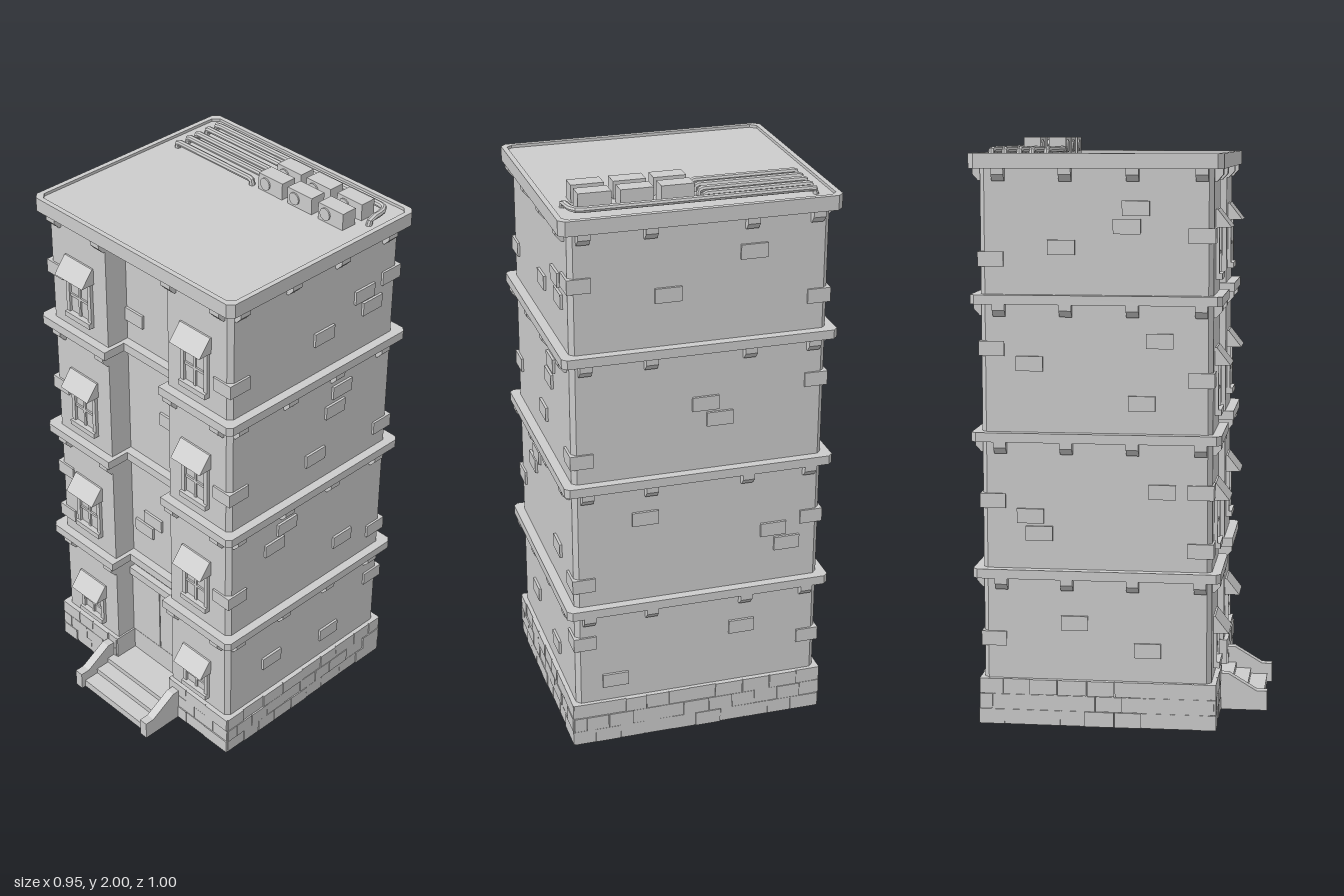
import * as THREE from 'three';

const mat = new THREE.MeshStandardMaterial({ color: 0xcccccc, flatShading: true, side: THREE.DoubleSide });
const HX = 0.44, ZF = 0.318, ZB = -0.465, ZR = 0.23; // half width, front, back and recess planes

function add(parent, name, geo, x = 0, y = 0, z = 0) {
  const m = new THREE.Mesh(geo, mat);
  m.name = name;
  m.position.set(x, y, z);
  parent.add(m);
  return m;
}

// Box given by its min and max on every axis
function box(parent, name, x0, x1, y0, y1, z0, z1) {
  return add(parent, name, new THREE.BoxGeometry(x1 - x0, y1 - y0, z1 - z0),
    (x0 + x1) / 2, (y0 + y1) / 2, (z0 + z1) / 2);
}

// Building outline grown by o, with chamfered corners and an optional entrance recess
function outline(o, recess = true, c = 0.016) {
  const x = HX + o, f = ZF + o, b = ZB - o, n = 0.15 - o / 2, r = ZR + o;
  const pts = [[-x, f - c], [-x + c, f]];
  if (recess) pts.push([-n, f], [-n, r], [n, r], [n, f]);
  pts.push([x - c, f], [x, f - c], [x, b + c], [x - c, b], [-x + c, b], [-x, b + c]);
  return pts.map(([px, pz]) => new THREE.Vector2(px, -pz));
}

// Slab or hollow ring standing on that outline
function storey(parent, name, y0, y1, outer, inner) {
  const shape = new THREE.Shape(outer);
  if (inner) shape.holes.push(new THREE.Path(inner));
  const geo = new THREE.ExtrudeGeometry(shape, { depth: y1 - y0, bevelEnabled: false });
  geo.rotateX(-Math.PI / 2);
  return add(parent, name, geo, 0, y0, 0);
}

// Profile in (z, y) extruded along x, centred
function sideProfile(pts, width) {
  const geo = new THREE.ExtrudeGeometry(
    new THREE.Shape(pts.map(([z, y]) => new THREE.Vector2(z, y))), { depth: width, bevelEnabled: false });
  geo.translate(0, 0, -width / 2);
  geo.rotateY(-Math.PI / 2);
  return geo;
}

// Wall frames: local x runs along the wall, local +z points outward
function wallFrame(parent, name, side) {
  const g = new THREE.Group();
  g.name = name;
  if (side === 'front') g.position.z = ZF;
  if (side === 'recess') g.position.z = ZR;
  if (side === 'back') { g.position.z = ZB; g.rotation.y = Math.PI; }
  if (side === 'left') { g.position.x = HX; g.rotation.y = Math.PI / 2; }
  if (side === 'right') { g.position.x = -HX; g.rotation.y = -Math.PI / 2; }
  parent.add(g);
  return g;
}

function makeWindow(parent, x, y0, yTop) {
  const g = new THREE.Group();
  g.name = 'window';
  g.position.set(x, 0, ZF);
  const y1 = yTop - 0.03;
  box(g, 'windowPane', -0.055, 0.055, y0, y1, -0.01, 0.002);
  for (const s of [-1, 1]) box(g, 'windowJamb', s * 0.055 - 0.008, s * 0.055 + 0.008, y0, y1, -0.01, 0.012);
  box(g, 'windowMullion', -0.005, 0.005, y0, y1, -0.01, 0.008);
  box(g, 'windowCrossbar', -0.055, 0.055, (y0 + y1) / 2 - 0.02, (y0 + y1) / 2 - 0.01, -0.01, 0.008);
  box(g, 'windowSill', -0.063, 0.063, y0, y0 + 0.02, -0.01, 0.022);
  add(g, 'awning', sideProfile([[0, yTop], [0.006, yTop], [0.053, yTop - 0.06], [0, yTop - 0.06]], 0.14));
  parent.add(g);
}

function pipe(parent, points) {
  const curve = new THREE.CurvePath();
  const v = points.map(p => new THREE.Vector3(...p));
  for (let i = 1; i < v.length; i++) curve.add(new THREE.LineCurve3(v[i - 1], v[i]));
  add(parent, 'roofPipe', new THREE.TubeGeometry(curve, 40, 0.011, 8));
}

export function createModel() {
  const model = new THREE.Group();
  model.name = 'apartmentBuilding';

  // Hollow walls, floor ledges and roof
  storey(model, 'walls', 0.1, 1.92, outline(0), outline(-0.03));
  const ledges = [0.515, 0.985, 1.45];
  for (const y of ledges) storey(model, 'ledge', y, y + 0.032, outline(0.032), outline(-0.02));
  storey(model, 'roofSlab', 1.90, 1.94, outline(0.03, false));
  storey(model, 'roofRim', 1.90, 1.95, outline(0.034, false, 0.02), outline(0.016, false, 0.02));

  // Wedge brackets below every ledge
  const bracket = sideProfile([[-0.01, 0], [0.028, 0], [0.028, -0.02], [0.008, -0.042], [-0.01, -0.042]], 0.042);
  const walls = {};
  for (const s of ['front', 'recess', 'back', 'left', 'right']) walls[s] = wallFrame(model, s + 'Wall', s);
  for (const y of [...ledges, 1.90]) {
    for (const x of [-0.393, -0.17, 0.17, 0.393])
      for (const s of ['front', 'back']) add(walls[s], 'bracket', bracket, x, y, 0);
    for (const z of [0.28, 0.05, -0.175, -0.4]) {
      add(walls.left, 'bracket', bracket, -z, y, 0);
      add(walls.right, 'bracket', bracket, z, y, 0);
    }
  }

  // Single raised bricks: position along the wall, height
  const bricks = {
    recess: [[-0.033, 0.745], [-0.08, 0.685], [-0.11, 1.585], [0.06, 1.23]],
    back: [[-0.11, 1.66], [0.18, 1.78], [0.02, 1.26], [0.07, 1.2], [-0.19, 0.86], [0.27, 0.75], [0.32, 0.69],
      [-0.3, 0.24], [0.16, 0.38]],
    left: [[0.11, 1.62], [0.3, 1.7], [0.34, 1.64], [0.21, 1.36], [0.18, 1.29], [0.09, 1.13], [-0.04, 0.9],
      [-0.1, 0.84], [0.25, 0.68], [-0.1, 0.31], [0.2, 0.26]],
    right: [[0.06, 1.77], [0.03, 1.71], [-0.19, 1.64], [0.14, 1.33], [-0.3, 1.25], [0.08, 1.12], [-0.3, 0.73],
      [-0.27, 0.67], [0.15, 0.82], [-0.15, 0.36], [0.1, 0.27]],
  };
  for (const s in bricks)
    for (const [u, y] of bricks[s]) box(walls[s], 'brick', u - 0.046, u + 0.046, y - 0.025, y + 0.025, -0.01, 0.009);

  // Bricks that wrap around the corners
  for (const [sx, y] of [[1, 0.705], [1, 1.6], [-1, 0.62], [-1, 0.82], [-1, 1.2], [-1, 1.68], [1, 1.16]])
    box(model, 'cornerBrick', sx * 0.408 - 0.04, sx * 0.408 + 0.04, y - 0.025, y + 0.025, 0.235, 0.325);
  for (const [sx, y] of [[1, 0.4], [1, 0.63], [1, 1.1], [1, 1.72], [-1, 0.3], [-1, 0.78], [-1, 1.3], [-1, 1.6]])
    box(model, 'cornerBrick', sx * 0.408 - 0.04, sx * 0.408 + 0.04, y - 0.025, y + 0.025, -0.472, -0.385);

  // Plinth of staggered bricks
  let seed = 7;
  const rnd = () => (seed = (seed * 16807) % 2147483647) / 2147483647;
  storey(model, 'plinth', 0, 0.16, outline(0.013), outline(-0.02));
  const course = (wall, from, to) => {
    for (let r = 0; r < 3; r++) {
      let u = from;
      while (u < to - 0.005) {
        let e = u + (r % 2 && u === from ? 0.045 : 0.075 + rnd() * 0.03);
        if (e > to - 0.035) e = to;
        box(wall, 'plinthBrick', u + 0.0015, e - 0.0015, r * 0.054, r * 0.054 + 0.052, -0.05, 0.014 + rnd() * 0.005);
        u = e;
      }
    }
  };
  course(walls.front, -0.455, -0.15);
  course(walls.front, 0.15, 0.455);
  course(walls.back, -0.455, 0.455);
  course(walls.left, -0.33, 0.478);
  course(walls.right, -0.478, 0.33);

  // Windows with awnings
  for (const [y0, yTop] of [[0.19, 0.375], [0.61, 0.84], [1.07, 1.302], [1.53, 1.765]])
    for (const x of [-0.283, 0.283]) makeWindow(model, x, y0, yTop);

  // Double door in the recess
  for (const s of [-1, 1]) {
    const d = box(model, 'doorLeaf', -0.073, 0.073, 0.07, 0.44, ZR - 0.02, ZR + 0.012);
    d.position.x = s * 0.075;
  }
  box(model, 'doorLintel', -0.148, 0.148, 0.44, 0.472, ZR - 0.02, ZR + 0.025);

  // Entrance stairs with sloping cheek walls
  [[0.48, 0.03], [0.42, 0.05], [0.365, 0.07]].forEach(([z, y]) =>
    box(model, 'step', -0.165, 0.165, y - 0.03, y, z === 0.365 ? ZR : 0.3, z));
  box(model, 'landing', -0.148, 0.148, 0.03, 0.07, ZR - 0.03, 0.34);
  const cheek = sideProfile([[0.32, 0], [0.497, 0], [0.497, 0.07], [0.46, 0.07], [0.36, 0.13], [0.32, 0.13]], 0.033);
  for (const s of [-1, 1]) add(model, 'stairCheek', cheek, s * 0.181, 0, 0);

  // Roof pipes
  const py = 1.96;
  for (const z of [-0.385, -0.335, -0.293, -0.243])
    pipe(model, [[-0.4, 1.935, z], [-0.4, py - 0.005, z], [-0.392, py, z], [-0.042, py, z], [-0.034, py - 0.005, z], [-0.034, 1.935, z]]);
  pipe(model, [[-0.4, 1.935, -0.43], [-0.4, py - 0.005, -0.43], [-0.392, py, -0.43], [0.385, py, -0.428], [0.405, py, -0.42],
    [0.415, py, -0.395], [0.42, py, -0.335], [0.42, 1.935, -0.328]]);

  // Roof cooling units with a round fan on the front
  for (const x of [0.055, 0.19, 0.33])
    for (const z of [-0.36, -0.27]) {
      box(model, 'coolingUnit', x - 0.055, x + 0.055, 1.94, 2, z - 0.03, z + 0.03);
      const fan = add(model, 'coolingFan', new THREE.CylinderGeometry(0.022, 0.022, 0.008, 16), x - 0.022, 1.97, z + 0.031);
      fan.rotation.x = Math.PI / 2;
    }
  return model;
}
